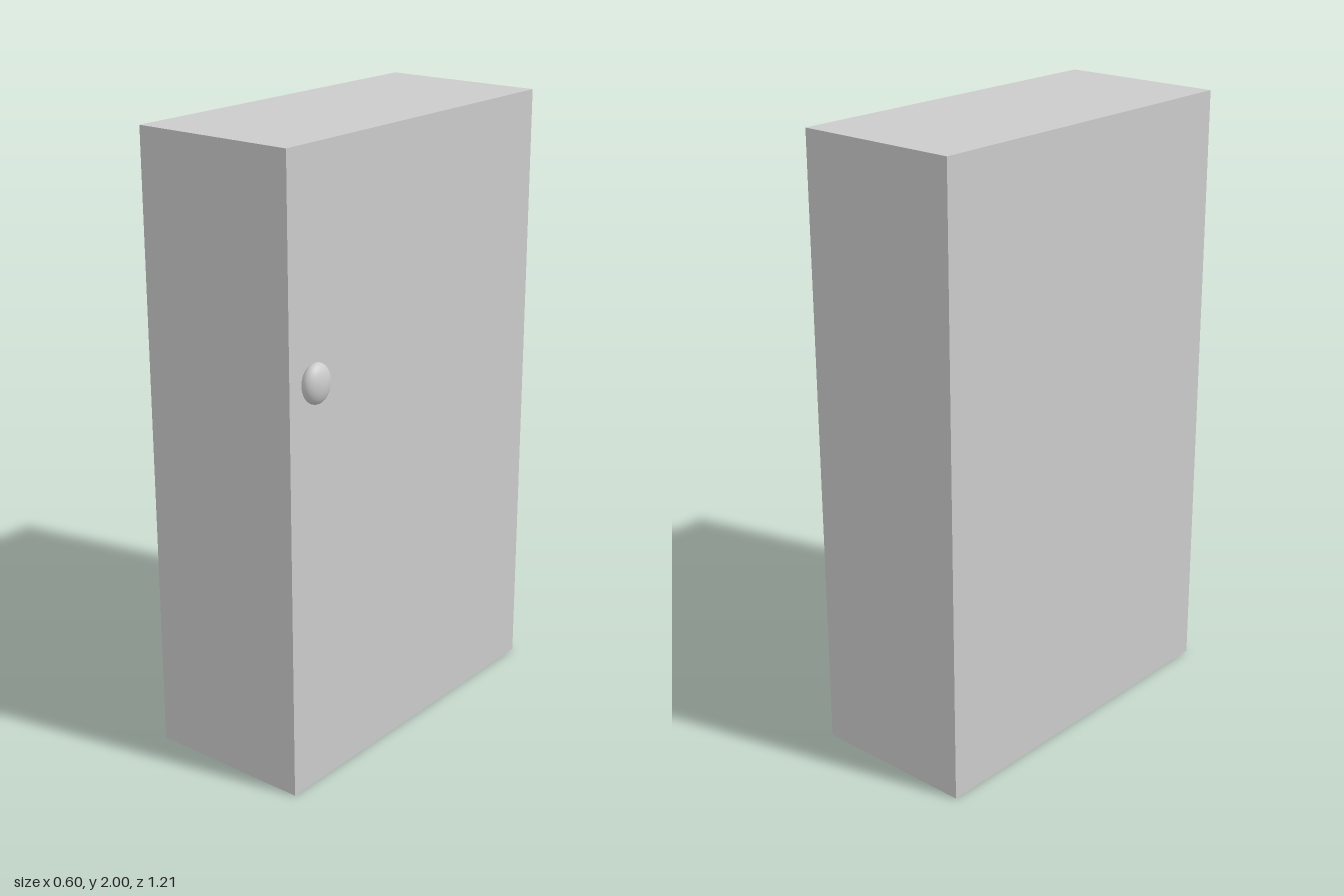
import * as THREE from 'three';

export function createModel() {
  const group = new THREE.Group();
  const material = new THREE.MeshStandardMaterial({ color: 0xcccccc });

  // Plain upright cabinet block
  const body = new THREE.Mesh(new THREE.BoxGeometry(0.548, 2, 1.21), material);
  body.name = 'cabinetBody';
  body.position.set(-0.027, 1, 0);
  group.add(body);

  // Flattened oval knob, partly sunk into the door side
  const knob = new THREE.Mesh(new THREE.SphereGeometry(1, 32, 24), material);
  knob.name = 'doorKnob';
  knob.scale.set(0.032, 0.062, 0.054);
  knob.position.set(0.269, 1.318, 0.513);
  group.add(knob);

  return group;
}
